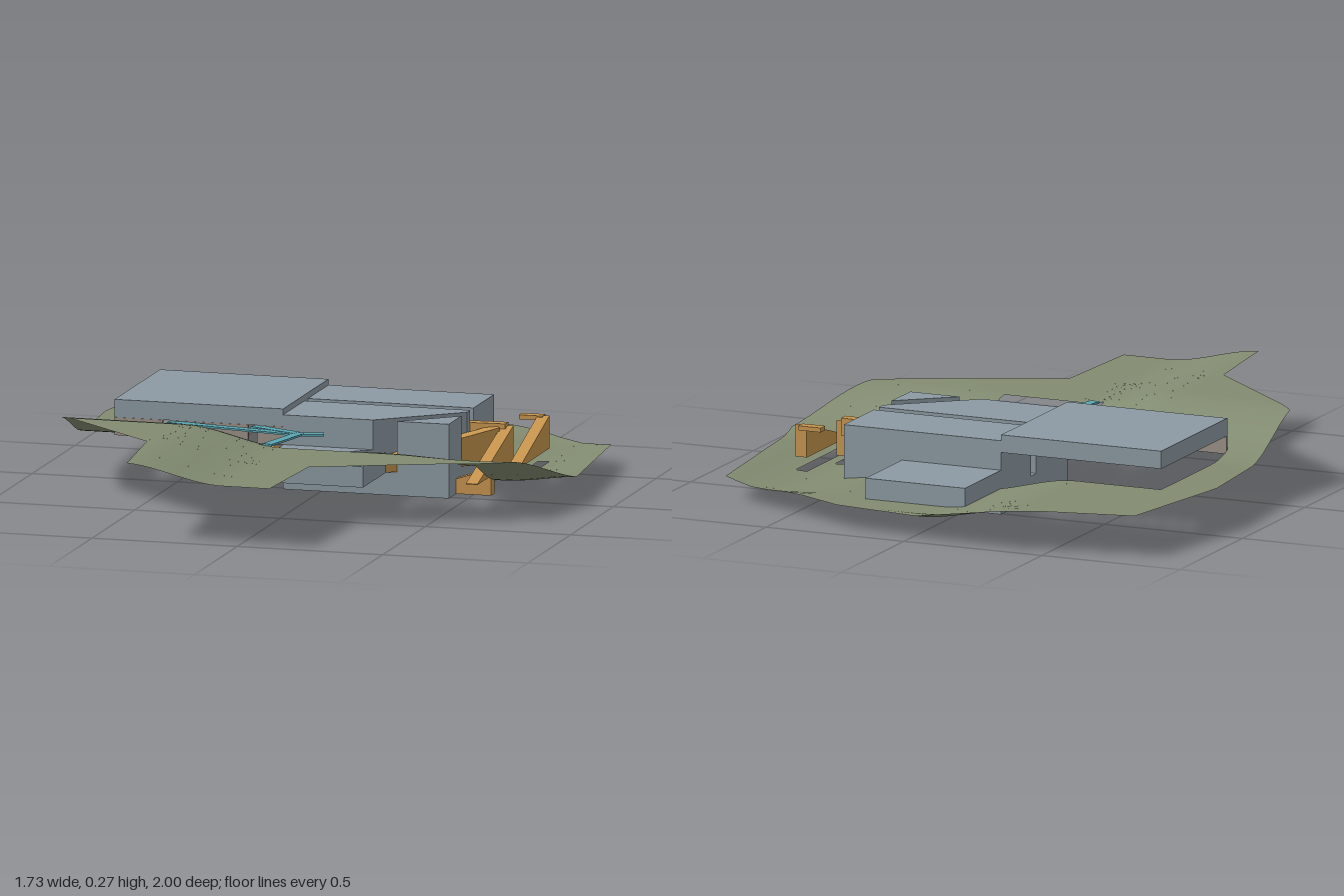
import * as THREE from 'three';

const mat = (name, color, side = THREE.FrontSide) => {
  const m = new THREE.MeshStandardMaterial({ color, side });
  m.name = name;
  return m;
};

export function createModel() {
  const group = new THREE.Group();
  const grass = mat('grass', 0x828c71, THREE.DoubleSide);
  const concrete = mat('concrete', 0x8d9aa3);
  const orange = mat('rampOrange', 0xc8954f);
  const teal = mat('walkwayTeal', 0x5aa5b2);
  const taupe = mat('wallTaupe', 0x9d9388);

  const add = (name, geo, m) => {
    const mesh = new THREE.Mesh(geo, m);
    mesh.name = name;
    group.add(mesh);
  };
  const box = (name, m, x0, x1, y0, y1, z0, z1) =>
    add(name, new THREE.BoxGeometry(x1 - x0, y1 - y0, z1 - z0)
      .translate((x0 + x1) / 2, (y0 + y1) / 2, (z0 + z1) / 2), m);
  // Plan polygon of [x, z] points raised from y0 to y1
  const prism = (name, m, pts, y0, y1) => {
    const shape = new THREE.Shape(pts.map(([x, z]) => new THREE.Vector2(x, -z)));
    add(name, new THREE.ExtrudeGeometry(shape, { depth: y1 - y0, bevelEnabled: false })
      .rotateX(-Math.PI / 2).translate(0, y0, 0), m);
  };
  // Straight solid run between two plan points, with a top sloping from ya to yb
  const run = (name, m, [ax, az], [bx, bz], width, base, ya, yb) => {
    const geo = new THREE.BoxGeometry(Math.hypot(bx - ax, bz - az), 1, width);
    const p = geo.attributes.position;
    for (let i = 0; i < p.count; i++) {
      p.setY(i, p.getY(i) < 0 ? base : p.getX(i) < 0 ? ya : yb);
    }
    geo.rotateY(-Math.atan2(bz - az, bx - ax)).translate((ax + bx) / 2, 0, (az + bz) / 2);
    geo.computeVertexNormals();
    add(name, geo, m);
  };

  // Terrain: a low back shelf rising to the front, higher on the right
  const step = THREE.MathUtils.smoothstep;
  const height = (x, z) => {
    const across = Math.max(0, 1 - ((x - 0.6) / 0.28) ** 2) ** 2;
    const dip = 0.027 * across * (1 - step(z, -0.05, 0.5)) * step(z, -0.84, -0.68);
    return 0.08 + 0.12 * step(z, -0.1, 0.34) + 0.06 * (1 - step(x, -0.4, -0.05)) - dip;
  };
  const leftEdge = [[-0.31, -1], [-0.79, -0.9], [-0.87, -0.42], [-0.82, 0.28], [-0.42, 0.63], [-0.38, 1]];
  const rightEdge = [[-0.31, -1], [0.28, -0.92], [0.8, -0.66], [0.86, 0], [0.72, 0.35], [0.13, 0.61], [0.11, 1]];
  // Cut-outs as x0, x1, z0, z1
  const holes = [
    [-0.13, 0.23, -0.8, -0.51], [-0.71, 0.44, -0.51, -0.27], [-0.71, 0.58, -0.27, 0.02],
    [-0.13, 0.58, 0.02, 0.18], [-0.13, 0.23, 0.18, 0.31], [0.62, 0.66, -0.41, -0.07],
  ];
  const edgeAt = (edge, z) => {
    let i = 0;
    while (i < edge.length - 2 && z > edge[i + 1][1]) i++;
    const [[x0, z0], [x1, z1]] = [edge[i], edge[i + 1]];
    return x0 + (x1 - x0) * (z - z0) / (z1 - z0);
  };
  const breaks = new Set([...leftEdge, ...rightEdge].map(p => p[1]));
  holes.forEach(h => { breaks.add(h[2]); breaks.add(h[3]); });
  for (let i = -24; i <= 24; i++) breaks.add(i / 25);
  const rows = [...breaks].sort((a, b) => a - b);
  const pos = [], nor = [], idx = [];
  const vertex = (x, z) => {
    const e = 0.005;
    const n = new THREE.Vector3(height(x - e, z) - height(x + e, z), 2 * e,
      height(x, z - e) - height(x, z + e)).normalize();
    pos.push(x, height(x, z), z);
    nor.push(n.x, n.y, n.z);
  };
  for (let r = 0; r < rows.length - 1; r++) {
    const z0 = rows[r], z1 = rows[r + 1], mid = (z0 + z1) / 2;
    const cuts = holes.filter(h => h[2] < mid && h[3] > mid).sort((a, b) => a[0] - b[0]);
    const ends = z => [edgeAt(leftEdge, z), ...cuts.flatMap(h => [h[0], h[1]]), edgeAt(rightEdge, z)];
    const e0 = ends(z0), e1 = ends(z1);
    for (let k = 0; k < e0.length; k += 2) {
      const n = Math.max(1, Math.ceil((e1[k + 1] - e1[k]) / 0.03));
      for (let i = 0; i <= n; i++) {
        const a = pos.length / 3;
        vertex(THREE.MathUtils.lerp(e0[k], e0[k + 1], i / n), z0);
        vertex(THREE.MathUtils.lerp(e1[k], e1[k + 1], i / n), z1);
        if (i < n) idx.push(a, a + 1, a + 2, a + 2, a + 1, a + 3);
      }
    }
  }
  const land = new THREE.BufferGeometry();
  land.setAttribute('position', new THREE.Float32BufferAttribute(pos, 3));
  land.setAttribute('normal', new THREE.Float32BufferAttribute(nor, 3));
  land.setIndex(idx);
  add('terrain', land, grass);

  // Main block: base, and an upper part split by the ramp slots
  box('mainBase', concrete, -0.13, 0.44, 0, 0.08, -0.51, 0.02);
  box('mainBack', concrete, -0.13, 0.44, 0.08, 0.25, -0.51, -0.27);
  prism('mainMiddle', concrete,
    [[-0.13, -0.23], [-0.13, 0.02], [0.179, 0.02], [0.44, -0.195], [0.44, -0.23]], 0.08, 0.25);
  prism('mainCorner', concrete, [[0.261, 0.02], [0.44, 0.02], [0.44, -0.127]], 0.08, 0.25);

  // Lower wings at front and back, raised wing on the right
  prism('frontWing', concrete, [[-0.13, 0.02], [-0.13, 0.31], [0.23, 0.31], [0.23, 0.046],
    [0.067, 0.179], [0.035, 0.139], [0.179, 0.02]], 0.085, 0.15);
  box('frontWingFloor', concrete, -0.13, 0.23, 0.08, 0.085, 0.02, 0.31);
  box('backWing', concrete, -0.13, 0.23, 0.08, 0.15, -0.8, -0.51);
  box('upperWing', concrete, -0.71, -0.13, 0.21, 0.27, -0.51, 0.02);

  // Wall below the raised wing, with two door openings
  for (const [x0, x1] of [[-0.71, -0.545], [-0.515, -0.25], [-0.22, -0.13]]) {
    box('wingWall', taupe, x0, x1, 0.15, 0.21, 0.012, 0.022);
  }

  // Ramps
  run('slotRamp', orange, [-0.13, -0.25], [0.56, -0.25], 0.036, 0.15, 0.2, 0.21);
  run('diagonalRamp', orange, [0.05, 0.16], [0.53, -0.235], 0.05, 0.08, 0.087, 0.2);
  run('sideRamp', orange, [0.56, 0.16], [0.56, -0.26], 0.04, 0.08, 0.083, 0.2);
  run('outerRamp', orange, [0.64, -0.07], [0.64, -0.41], 0.04, 0.1, 0.105, 0.21);
  run('entryRamp', orange, [0.44, -0.085], [0.56, -0.085], 0.04, 0, 0.05, 0.09);
  box('lowerLanding', orange, 0.58, 0.66, 0.09, 0.105, -0.105, -0.065);
  box('upperLanding', orange, 0.56, 0.64, 0.195, 0.21, -0.43, -0.395);
  box('rightStep', orange, -0.24, -0.13, 0.08, 0.14, 0.0, 0.03);

  // Flat walkways bridging to the doors
  const paths = [
    [[-0.52, 0.03], [-0.05, 0.11]], [[-0.06, 0.11], [0.03, 0.085]],
    [[-0.05, 0.1], [-0.1, 0.31]], [[-0.23, 0.025], [-0.06, 0.1]],
  ];
  paths.forEach(([a, b], i) => run('walkway', teal, a, b, 0.034, 0.202, 0.208 + i * 0.0004, 0.208 + i * 0.0004));

  return group;
}
